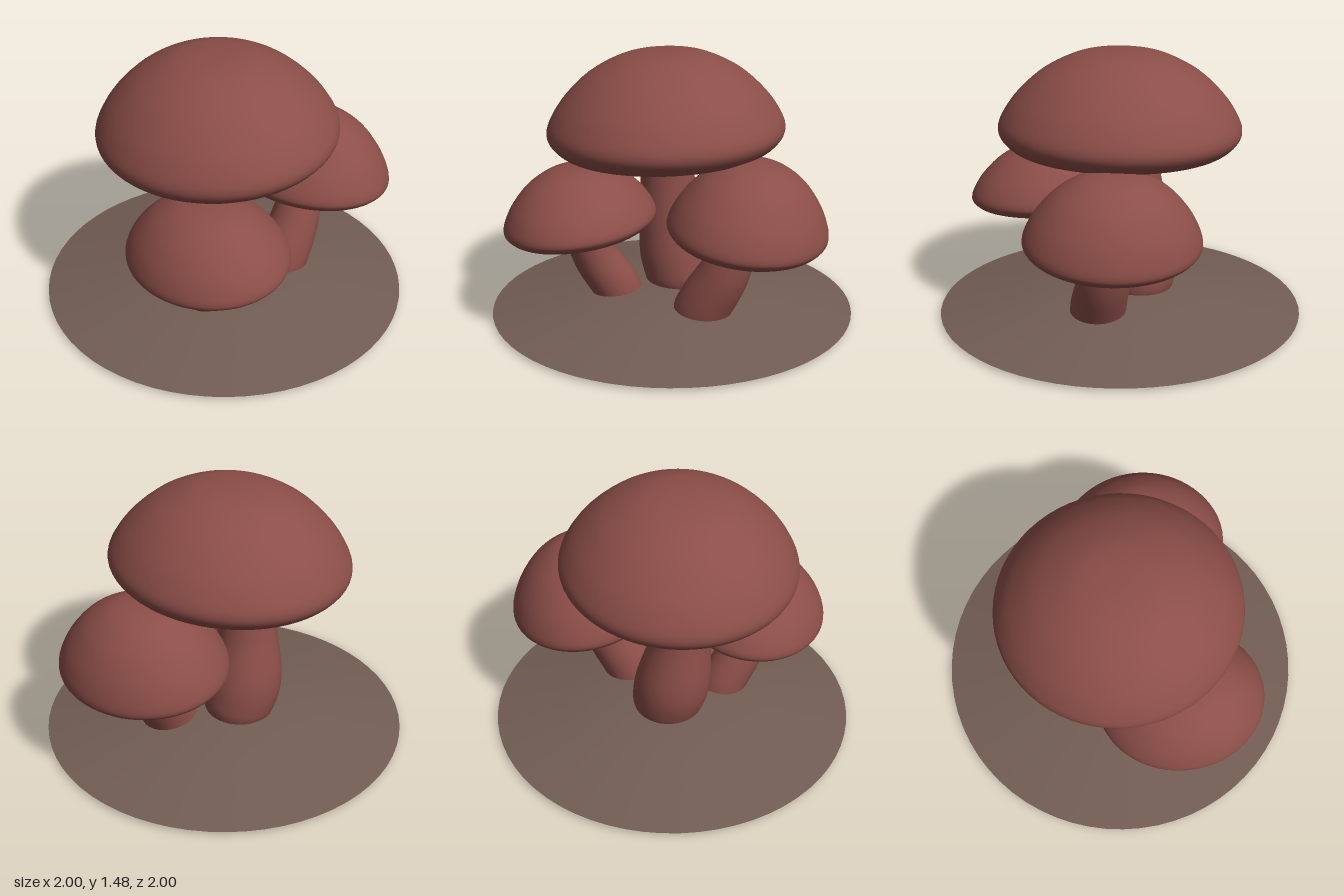
import * as THREE from 'three';
import { mergeVertices } from 'three/addons/utils/BufferGeometryUtils.js';

// Unit cap profile from the crown, over the rim and lip, into the hollow underside
const CAP_PROFILE = [
  [0, 1], [0.2, 0.985], [0.4, 0.915], [0.65, 0.71], [0.85, 0.42], [0.96, 0.17], [1, 0],
  [0.975, -0.45], [0.88, -0.88], [0.75, -1], [0.58, -0.7], [0.38, -0.05], [0.2, 0.08], [0, 0.1],
];

function smooth(geometry) {
  geometry.deleteAttribute('uv');
  geometry.deleteAttribute('normal');
  const merged = mergeVertices(geometry, 1e-4);
  merged.computeVertexNormals();
  return merged;
}

// Lathe a smooth curve through [radius, y] points, listed from top to bottom
function lathe(points, steps) {
  const curve = new THREE.SplineCurve(points.map(([r, y]) => new THREE.Vector2(r, y)));
  const profile = curve.getPoints(steps).reverse();
  profile.forEach((p) => { p.x = Math.max(0, p.x); });
  return new THREE.LatheGeometry(profile, 64);
}

function makeCap({ rx, rz, height, lip }) {
  const points = CAP_PROFILE.map(([r, y]) => [r, y > 0 ? y * height : y * lip]);
  return smooth(lathe(points, 65).scale(rx, 1, rz));
}

// Tube along [x, y, z, radius] points, with a rounded foot
function makeStem(points) {
  const path = new THREE.CatmullRomCurve3(points.map(([x, y, z]) => new THREE.Vector3(x, y, z)));
  const radii = new THREE.SplineCurve(points.map((p, i) => new THREE.Vector2(i, p[3])));
  const rings = 60, sides = 32, foot = 0.14;
  const geometry = new THREE.TubeGeometry(path, rings, 1, sides);
  const position = geometry.attributes.position;
  const v = new THREE.Vector3();
  for (let i = 0; i <= rings; i++) {
    const u = i / rings;
    const centre = path.getPointAt(u);
    const round = u < foot ? Math.sqrt(1 - (1 - u / foot) ** 2) : 1;
    const radius = radii.getPoint(path.getUtoTmapping(u)).y * round;
    for (let j = 0; j <= sides; j++) {
      const k = i * (sides + 1) + j;
      v.fromBufferAttribute(position, k).sub(centre).multiplyScalar(radius).add(centre);
      position.setXYZ(k, v.x, v.y, v.z);
    }
  }
  return smooth(geometry);
}

const MUSHROOMS = [
  {
    name: 'tallMushroom',
    cap: { rx: 0.64, rz: 0.66, height: 0.42, lip: 0.125 },
    at: [-0.04, 1.045, -0.013], tilt: [-1.8, 2.5],
    stem: [
      [0.02, 0.02, -0.09, 0.18], [0.015, 0.14, -0.1, 0.195], [-0.025, 0.32, -0.12, 0.207],
      [-0.065, 0.6, -0.11, 0.165], [-0.07, 0.92, -0.085, 0.132], [-0.065, 1.12, -0.06, 0.145],
    ],
  },
  {
    name: 'leftMushroom',
    cap: { rx: 0.42, rz: 0.467, height: 0.36, lip: 0.078 },
    at: [0.51, 0.615, 0.176], tilt: [-1, -7],
    stem: [
      [0.22, 0.0, 0.18, 0.14], [0.245, 0.08, 0.19, 0.15], [0.29, 0.17, 0.195, 0.15],
      [0.38, 0.33, 0.19, 0.138], [0.45, 0.52, 0.175, 0.113], [0.48, 0.67, 0.17, 0.115],
    ],
  },
  {
    name: 'rightMushroom',
    cap: { rx: 0.402, rz: 0.46, height: 0.298, lip: 0.07 },
    at: [-0.418, 0.565, 0.285], tilt: [0, 6],
    stem: [
      [-0.24, 0.0, 0.11, 0.12], [-0.258, 0.08, 0.125, 0.13], [-0.29, 0.16, 0.145, 0.132],
      [-0.37, 0.31, 0.2, 0.122], [-0.42, 0.5, 0.275, 0.1], [-0.43, 0.61, 0.285, 0.105],
    ],
  },
];

export function createModel() {
  const model = new THREE.Group();
  model.name = 'mushroomCluster';
  const flesh = new THREE.MeshStandardMaterial({ color: 0x8c4e48 });
  flesh.name = 'mushroom red brown';
  const soil = new THREE.MeshStandardMaterial({ color: 0x725d53, side: THREE.DoubleSide });
  soil.name = 'soil brown';

  // Thin open mound of soil
  const ground = new THREE.Mesh(
    lathe([[0, 0.145], [0.2, 0.137], [0.45, 0.109], [0.7, 0.065], [1, 0.008]], 24), soil);
  ground.name = 'ground';
  model.add(ground);

  for (const { name, cap, at, tilt, stem } of MUSHROOMS) {
    const mushroom = new THREE.Group();
    mushroom.name = name;
    const capMesh = new THREE.Mesh(makeCap(cap), flesh);
    capMesh.name = 'cap';
    capMesh.position.set(...at);
    capMesh.rotation.set(
      THREE.MathUtils.degToRad(tilt[0]), 0, THREE.MathUtils.degToRad(tilt[1]));
    const stemMesh = new THREE.Mesh(makeStem(stem), flesh);
    stemMesh.name = 'stem';
    mushroom.add(capMesh, stemMesh);
    model.add(mushroom);
  }
  return model;
}
